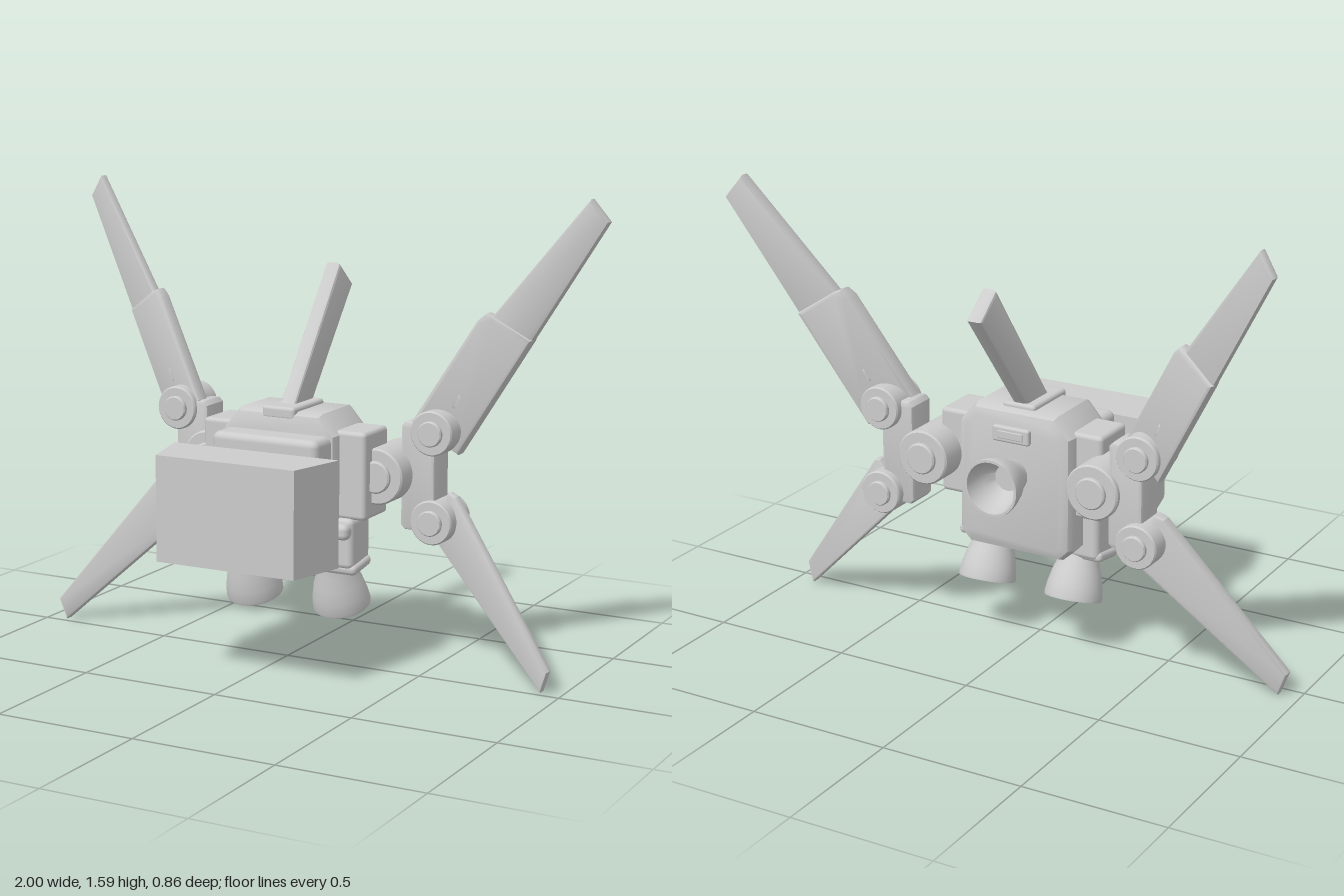
import * as THREE from 'three';
import { toCreasedNormals } from 'three/addons/utils/BufferGeometryUtils.js';
import { RoundedBoxGeometry } from 'three/addons/geometries/RoundedBoxGeometry.js';

export function createModel() {
  const model = new THREE.Group();
  const grey = new THREE.MeshStandardMaterial({ color: 0xcccccc });
  grey.name = 'hull grey';
  grey.side = THREE.DoubleSide;

  const add = (name, geometry, x = 0, y = 0, z = 0) => {
    const mesh = new THREE.Mesh(geometry, grey);
    mesh.name = name;
    mesh.position.set(x, y, z);
    model.add(mesh);
    return mesh;
  };

  // Rounded block given by its limits on each axis
  const block = (name, [x0, x1], [y0, y1], [z0, z1], r = 0.015) =>
    add(name, new RoundedBoxGeometry(x1 - x0, y1 - y0, z1 - z0, 2, r),
      (x0 + x1) / 2, (y0 + y1) / 2, (z0 + z1) / 2);

  // Bevelled plate from an outline in x and y, between z0 and z1
  const plate = (points, z0, z1, bevel) => {
    const shape = new THREE.Shape(points.map(([x, y]) => new THREE.Vector2(x, y)));
    const g = new THREE.ExtrudeGeometry(shape, {
      depth: z1 - z0 - 2 * bevel, bevelEnabled: true, bevelThickness: bevel,
      bevelSize: bevel, bevelOffset: -bevel, bevelSegments: 2,
    });
    g.translate(0, 0, z0 + bevel);
    return toCreasedNormals(g, 0.5);
  };

  // Wing panel: plate swept in z by its distance from the middle
  const wingPanel = (name, s, points, thick, z0, slope) => {
    const g = plate(points.map(([x, y]) => [s * x, y]), -thick / 2, thick / 2, thick * 0.2);
    const p = g.attributes.position;
    for (let i = 0; i < p.count; i++) p.setZ(i, p.getZ(i) + z0 + slope * Math.abs(p.getX(i)));
    add(name, toCreasedNormals(g, 0.5));
  };

  // Cylinder along z with a stepped cap at each end
  const hinge = (name, x, y, r, z0, z1) => {
    const profile = [
      [0, z0], [r * 0.52, z0], [r * 0.57, z0 + 0.005], [r * 0.57, z0 + 0.015], [r * 0.94, z0 + 0.015],
      [r, z0 + 0.021], [r, z1 - 0.021], [r * 0.94, z1 - 0.015], [r * 0.57, z1 - 0.015],
      [r * 0.57, z1 - 0.005], [r * 0.52, z1], [0, z1],
    ].map(([a, b]) => new THREE.Vector2(a, b));
    const g = new THREE.LatheGeometry(profile, 32);
    g.rotateX(Math.PI / 2);
    add(name, toCreasedNormals(g, 0.5), x, y, 0);
  };

  // Hollow bell, opening towards -y from its top at the origin
  const bell = (name, length) => {
    const profile = [
      [0, 0.03], [0.054, 0.03], [0.056, 0], [0.067, -length * 0.24], [0.084, -length * 0.5], [0.095, -length * 0.75],
      [0.1, -length * 0.95], [0.099, -length], [0.09, -length], [0.074, -length * 0.5], [0.045, -0.035], [0, -0.035],
    ].map(([a, b]) => new THREE.Vector2(a, b)).reverse();
    return add(name, toCreasedNormals(new THREE.LatheGeometry(profile, 32), 0.6));
  };

  // Front shield box, narrower towards the front
  const shield = new THREE.BoxGeometry(0.62, 0.36, 0.21);
  const sp = shield.attributes.position;
  for (let i = 0; i < sp.count; i++) if (sp.getZ(i) > 0) sp.setX(i, sp.getX(i) * 0.83);
  shield.computeVertexNormals();
  add('frontShield', shield, 0, 0.58, 0.328);

  // Body
  add('bodyCore', plate([
    [-0.175, 0.36], [0.175, 0.36], [0.215, 0.40], [0.215, 0.80],
    [0.155, 0.868], [-0.155, 0.868], [-0.215, 0.80], [-0.215, 0.40],
  ], -0.188, 0.075, 0.035));
  block('chestPlate', [-0.2, 0.2], [0.364, 0.8], [0.02, 0.172], 0.025);
  block('backPort', [-0.07, 0.07], [0.76, 0.815], [-0.205, -0.17], 0.008);
  block('backPortInset', [-0.048, 0.048], [0.774, 0.801], [-0.209, -0.19], 0.003);

  // Dorsal fin, swept back, and its foot
  block('finFoot', [-0.062, 0.062], [0.84, 0.884], [-0.15, 0.07], 0.012);
  const fin = plate([[0.02, 0.86], [-0.33, 1.326], [-0.43, 1.243], [-0.12, 0.86]], -0.028, 0.028, 0.011);
  fin.rotateY(-Math.PI / 2);
  add('dorsalFin', fin);

  // Rear engine
  const rear = bell('rearNozzle', 0.145);
  rear.rotation.x = Math.PI / 2;
  rear.position.set(0, 0.645, -0.19);

  for (const s of [1, -1]) {
    const span = (a, b) => (s > 0 ? [a, b] : [-b, -a]);

    // Side pod and lower engine housing
    block('sidePod', span(0.19, 0.31), [0.515, 0.815], [-0.14, 0.035]);
    block('engineHousing', span(0.06, 0.27), [0.345, 0.52], [-0.09, 0.05], 0.02);
    block('housingLatch', span(0.2, 0.265), [0.45, 0.505], [0.02, 0.08], 0.02);
    const collar = block('engineCollar', span(0.045, 0.28), [0.332, 0.368], [-0.085, 0.045], 0.016);
    collar.rotation.x = 0.15;
    const lower = bell('lowerNozzle', 0.185);
    lower.position.set(s * 0.17, 0.367, -0.018);
    lower.rotation.x = 0.32;

    // Shoulder joint, bracket and wing hinges
    hinge('shoulderJoint', s * 0.325, 0.66, 0.096, -0.255, -0.002);
    add('wingBracket', plate([
      [0.39, 0.47], [0.5, 0.47], [0.5, 0.84], [0.39, 0.84], [0.375, 0.825], [0.375, 0.485],
    ].map(([x, y]) => [s * x, y]), -0.22, -0.1, 0.012));
    hinge('upperHinge', s * 0.492, 0.81, 0.076, -0.262, -0.07);
    hinge('lowerHinge', s * 0.492, 0.505, 0.076, -0.265, -0.075);

    // Upper wing: thick inner panel, slimmer outer panel
    wingPanel('upperWingInner', s,
      [[0.41, 0.84], [0.61, 1.185], [0.635, 1.208], [0.66, 1.198], [0.777, 1.12], [0.556, 0.73]], 0.066, 0.022, -0.38);
    wingPanel('upperWingOuter', s,
      [[0.6, 1.12], [0.655, 1.2], [0.945, 1.588], [1.0, 1.513], [0.777, 1.12], [0.72, 1.05]], 0.042, 0.022, -0.38);
    wingPanel('wingSlot', s,
      [[0.56, 0.945], [0.575, 0.935], [0.545, 0.88], [0.53, 0.89]], 0.071, 0.022, -0.38);

    // Lower wing, swept forward
    wingPanel('lowerWing', s,
      [[0.44, 0.46], [0.53, 0.6], [0.56, 0.59], [0.953, 0.075], [0.927, 0.0]], 0.042, -0.345, 0.332);
  }
  return model;
}
